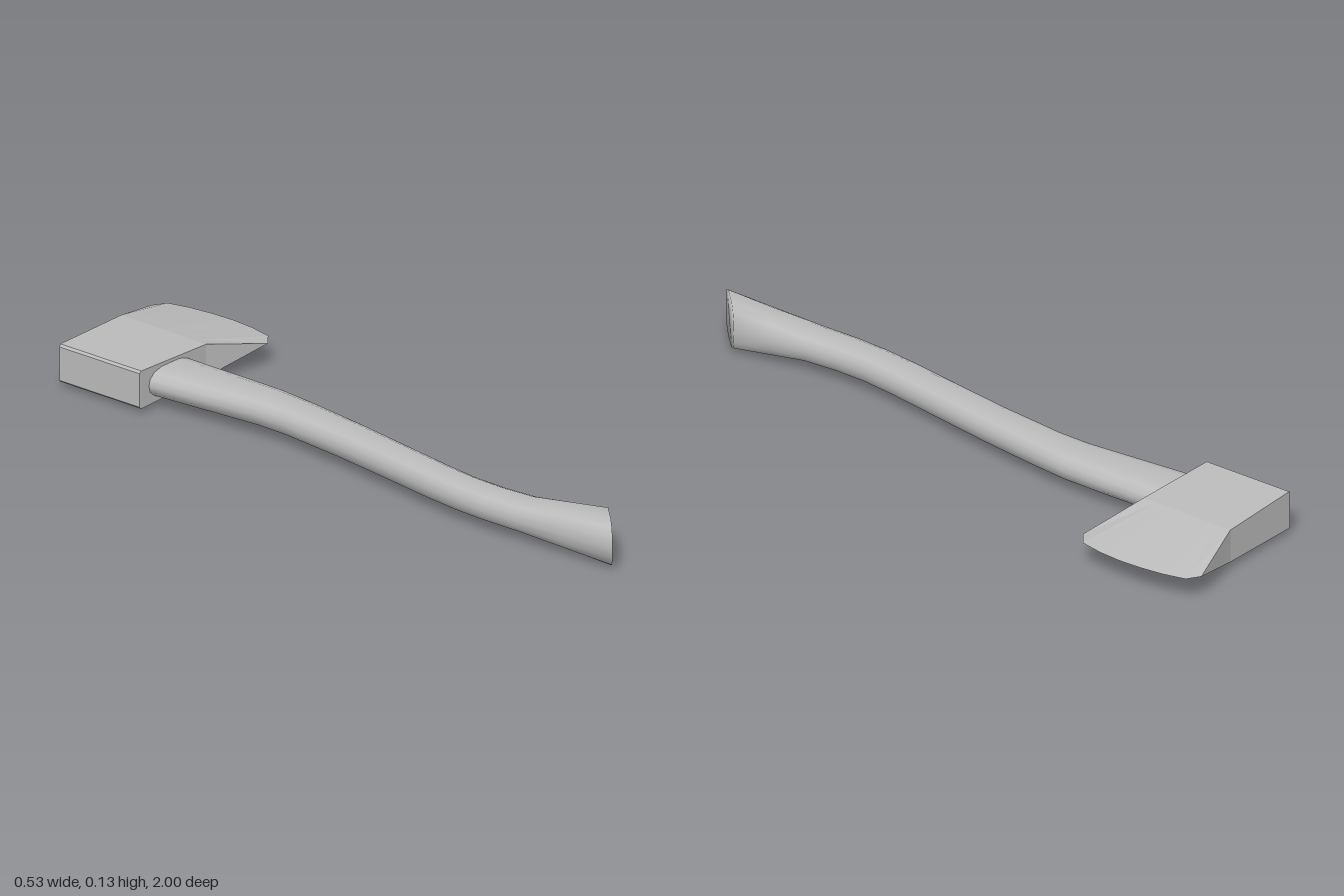
import * as THREE from 'three';

const MID_Y = 0.069;

function makeGeometry(points, index) {
  const g = new THREE.BufferGeometry();
  g.setAttribute('position', new THREE.Float32BufferAttribute(points.flat(), 3));
  if (index) g.setIndex(index);
  g.computeVertexNormals();
  return g;
}

// Curved handle: smooth loft through rings, each spanning a left-right line
function handleGeometry() {
  // [left x, left z, right x, right z, half height]
  const rings = [
    [-0.225, -0.76, -0.045, -0.76, 0.041],
    [-0.207, -0.63, -0.034, -0.63, 0.041],
    [-0.175, -0.45, -0.022, -0.46, 0.041],
    [-0.148, -0.3, -0.014, -0.31, 0.041],
    [-0.14, -0.2, -0.018, -0.2, 0.041],
    [-0.145, 0, -0.031, 0, 0.041],
    [-0.158, 0.2, -0.05, 0.21, 0.041],
    [-0.17, 0.35, -0.063, 0.36, 0.041],
    [-0.174, 0.46, -0.068, 0.46, 0.041],
    [-0.172, 0.56, -0.062, 0.56, 0.041],
    [-0.16, 0.68, -0.047, 0.66, 0.042],
    [-0.137, 0.83, -0.025, 0.755, 0.054],
    [-0.112, 0.995, 0, 0.86, 0.067],
  ];
  const sides = 14, points = [], index = [];
  for (const [lx, lz, rx, rz, h] of rings) {
    for (let j = 0; j < sides; j++) {
      const a = (j / sides) * Math.PI * 2, c = Math.cos(a);
      const t = 0.5 + 0.5 * Math.sign(c) * Math.pow(Math.abs(c), 0.6);
      points.push([lx + (rx - lx) * t, MID_Y + (h * Math.sin(a)) / 0.975, lz + (rz - lz) * t]);
    }
  }
  for (let i = 0; i < rings.length - 1; i++) {
    for (let j = 0; j < sides; j++) {
      const k = (j + 1) % sides;
      const a = i * sides + j, b = i * sides + k, c = b + sides, d = a + sides;
      index.push(a, b, d, b, c, d);
    }
  }
  // Slanted butt end, blended into the sides, and the end inside the head
  const [lx, lz, rx, rz] = rings[rings.length - 1];
  const last = (rings.length - 1) * sides, centre = points.length;
  points.push([(lx + rx) / 2, MID_Y, (lz + rz) / 2]);
  for (let j = 0; j < sides; j++) index.push(centre, last + j, last + ((j + 1) % sides));
  for (let j = 1; j < sides - 1; j++) index.push(0, j + 1, j);
  return makeGeometry(points, index);
}

// Axe head: flat-faced loft from the poll to the curved cutting edge
function headGeometry() {
  const edge = [
    [0.18, -1], [0.219, -0.98], [0.239, -0.92], [0.253, -0.85], [0.261, -0.78],
    [0.261, -0.71], [0.252, -0.64], [0.215, -0.605],
  ];
  const n = edge.length - 1;
  const line = (x0, z0, x1, z1, h) =>
    edge.map((_, j) => [x0 + ((x1 - x0) * j) / n, z0 + ((z1 - z0) * j) / n, h]);
  const rails = [
    line(-0.265, -0.9, -0.243, -0.625, 0.048),
    line(-0.259, -0.902, -0.237, -0.625, 0.054),
    line(0, -0.934, 0.02, -0.64, 0.047),
    edge.map(([x, z]) => [x, z, 0]),
  ];
  const at = (i, j, s) => {
    const [x, z, h] = rails[i][j];
    return [x, MID_Y + s * h, z];
  };
  const points = [];
  const quad = (a, b, c, d) => points.push(a, b, c, a, c, d);
  for (let i = 0; i < rails.length - 1; i++) {
    // Top and bottom cheeks
    for (let j = 0; j < n; j++) {
      quad(at(i, j, 1), at(i, j + 1, 1), at(i + 1, j + 1, 1), at(i + 1, j, 1));
      quad(at(i, j, -1), at(i + 1, j, -1), at(i + 1, j + 1, -1), at(i, j + 1, -1));
    }
    // Front and back sides
    quad(at(i, n, -1), at(i + 1, n, -1), at(i + 1, n, 1), at(i, n, 1));
    quad(at(i, 0, -1), at(i, 0, 1), at(i + 1, 0, 1), at(i + 1, 0, -1));
  }
  // Poll face
  quad(at(0, 0, -1), at(0, n, -1), at(0, n, 1), at(0, 0, 1));
  return makeGeometry(points);
}

export function createModel() {
  const grey = new THREE.MeshStandardMaterial({ color: 0xbcbcbc });
  grey.name = 'grey';
  const group = new THREE.Group();
  group.name = 'axe';
  const handle = new THREE.Mesh(handleGeometry(), grey);
  handle.name = 'handle';
  const head = new THREE.Mesh(headGeometry(), grey);
  head.name = 'axeHead';
  group.add(handle, head);
  return group;
}
